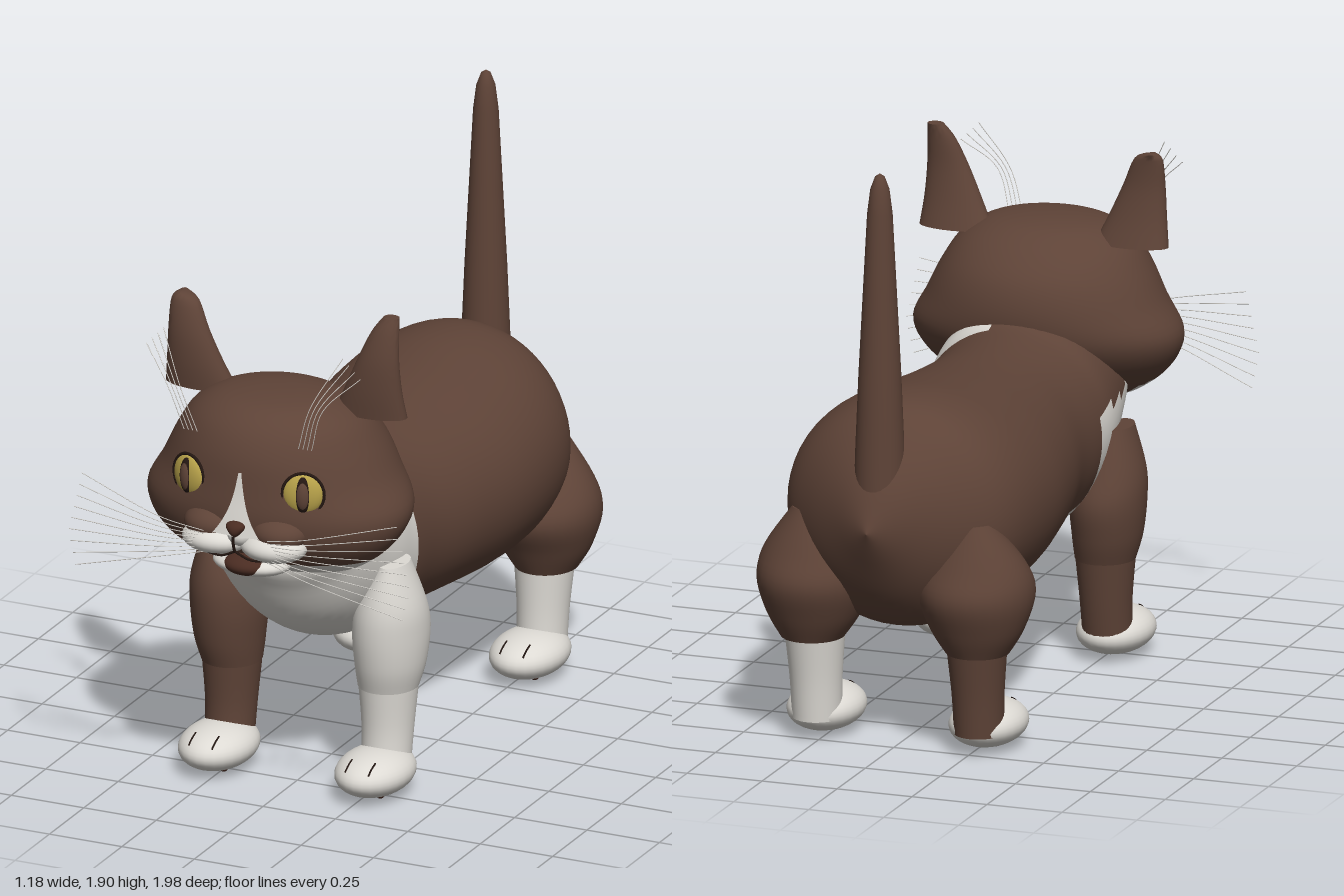
import * as THREE from 'three';
import { toCreasedNormals } from 'three/addons/utils/BufferGeometryUtils.js';

const mat = (name, color, side = THREE.FrontSide) => {
  const m = new THREE.MeshStandardMaterial({ color, side });
  m.name = name;
  return m;
};

// Smooth a table of section values with a Catmull-Rom spline, n steps per gap
function smooth(rows, n) {
  const out = [];
  for (let i = 0; i < rows.length - 1; i++) {
    const [a, b, c, d] = [rows[Math.max(i - 1, 0)], rows[i], rows[i + 1], rows[Math.min(i + 2, rows.length - 1)]];
    for (let k = 0; k < n; k++) {
      const t = k / n;
      out.push(b.map((v, j) => v + 0.5 * t * (c[j] - a[j] + t * (2 * a[j] - 5 * v + 4 * c[j] - d[j] + t * (3 * (v - c[j]) + d[j] - a[j])))));
    }
  }
  out.push(rows[rows.length - 1]);
  return out;
}

// Skin closed rings; pick(x, y, z) returns a material index for each quad
function loft(rows, point, sides, pick = () => 0) {
  const pos = [], lists = [[], []];
  for (const r of rows) for (let j = 0; j < sides; j++) {
    const a = (j / sides) * Math.PI * 2;
    pos.push(...point(r, Math.cos(a), Math.sin(a)));
  }
  for (let i = 0; i < rows.length - 1; i++) for (let j = 0; j < sides; j++) {
    const k = (j + 1) % sides;
    const [a, b, c, d] = [i * sides + j, i * sides + k, (i + 1) * sides + j, (i + 1) * sides + k];
    const mid = [0, 1, 2].map((q) => (pos[a * 3 + q] + pos[b * 3 + q] + pos[c * 3 + q] + pos[d * 3 + q]) / 4);
    lists[pick(...mid)].push(a, c, b, b, c, d);
  }
  const g = new THREE.BufferGeometry();
  g.setAttribute('position', new THREE.Float32BufferAttribute(pos, 3));
  g.setIndex([...lists[0], ...lists[1]]);
  g.addGroup(0, lists[0].length, 0);
  g.addGroup(lists[0].length, lists[1].length, 1);
  g.computeVertexNormals();
  return g;
}

// Upright sections: [y, centre x, radius x, centre z, radius z]
const upright = (r, c, s) => [r[1] + r[2] * c, r[0], r[3] + r[4] * s];

export function createModel() {
  const cat = new THREE.Group();
  cat.name = 'cat';
  const brown = mat('brown fur', 0x5e4337);
  const white = mat('white fur', 0xdddad4);
  const yellow = mat('yellow iris', 0xb8a24a);
  const dark = mat('dark lines', 0x241712);
  const skin = mat('nose and pads', 0x4a2c22);
  const patchWhite = mat('white markings', 0xdddad4, THREE.DoubleSide);

  const add = (name, geo, material, parent = cat) => {
    const m = new THREE.Mesh(geo, material);
    m.name = name;
    parent.add(m);
    return m;
  };
  const ball = (name, material, p, r, parent = cat) => {
    const m = add(name, new THREE.SphereGeometry(1, 28, 20), material, parent);
    m.position.set(...p);
    m.scale.set(...r);
    return m;
  };
  const line = (name, material, pts, r, parent = cat) => {
    const curve = new THREE.CatmullRomCurve3(pts.map((p) => new THREE.Vector3(...p)));
    return add(name, new THREE.TubeGeometry(curve, 14, r, 5), material, parent);
  };

  // Body: [top z, top y, bottom z, bottom y, half width], chest to rump
  const bodyRows = smooth([
    [0.56, 1.0, 0.6, 0.95, 0.02], [0.5, 1.12, 0.69, 0.8, 0.26], [0.45, 1.14, 0.645, 0.69, 0.29],
    [0.39, 1.14, 0.56, 0.56, 0.3], [0.33, 1.12, 0.43, 0.47, 0.31], [0.27, 1.085, 0.27, 0.43, 0.31],
    [0.11, 1.07, 0.11, 0.425, 0.315], [-0.1, 1.075, -0.1, 0.41, 0.36], [-0.35, 1.1, -0.35, 0.39, 0.402],
    [-0.58, 1.125, -0.58, 0.385, 0.4], [-0.74, 1.11, -0.74, 0.4, 0.355], [-0.85, 1.03, -0.85, 0.5, 0.25],
    [-0.94, 0.91, -0.94, 0.65, 0.11], [-0.995, 0.76, -0.995, 0.76, 0],
  ], 5);
  const bodyGeo = loft(bodyRows, (r, c, s) => {
    const t = (s + 1) / 2;
    return [r[4] * c, r[3] + (r[1] - r[3]) * t, r[2] + (r[0] - r[2]) * t];
  }, 56, (x, y, z) => {
    const bib = z > 0.27 && !(x < 0.08 && y > 0.85 && z < 0.5);
    return bib || (z > 0.11 && y < 0.54) ? 1 : 0;
  });
  add('body', bodyGeo, [brown, white]);

  // Head: [y, half width, back z, front z], chin to crown
  const headRows = smooth([
    [0.775, 0, 0.65, 0.65], [0.8, 0.22, 0.55, 0.74], [0.85, 0.33, 0.47, 0.83], [0.93, 0.41, 0.37, 0.9],
    [1.02, 0.437, 0.31, 0.925], [1.12, 0.385, 0.292, 0.92], [1.22, 0.335, 0.315, 0.905], [1.3, 0.28, 0.38, 0.865],
    [1.35, 0.2, 0.46, 0.8], [1.37, 0.1, 0.54, 0.71], [1.375, 0, 0.62, 0.62],
  ], 5);
  add('head', loft(headRows, (r, c, s) => [r[1] * c, r[0], (r[2] + r[3]) / 2 + ((r[3] - r[2]) / 2) * s], 56,
    (x, y, z) => (y < 0.87 && z > 0.6 ? 1 : 0)), [brown, white]);
  const faceZ = (x, y) => {
    const i = headRows.findIndex((r) => r[0] >= y), a = headRows[i - 1], b = headRows[i];
    const [, w, zb, zf] = a.map((v, k) => v + (b[k] - v) * ((y - a[0]) / (b[0] - a[0])));
    return (zb + zf) / 2 + ((zf - zb) / 2) * Math.sqrt(Math.max(0, 1 - (x / w) ** 2));
  };

  // Blaze: thin marking that follows the face
  const blaze = new THREE.PlaneGeometry(2, 1, 6, 10);
  const bp = blaze.attributes.position;
  for (let i = 0; i < bp.count; i++) {
    const t = 0.5 - bp.getY(i), y = 1.18 - 0.2 * t, x = bp.getX(i) * (0.005 + 0.03 * t + 0.045 * t ** 3);
    bp.setXYZ(i, x, y, faceZ(x, y) + 0.005 + 0.03 * t ** 3);
  }
  blaze.computeVertexNormals();
  add('blaze', blaze, patchWhite);

  // Muzzle, nose and mouth
  ball('muzzleBridge', white, [0, 0.975, 0.885], [0.05, 0.045, 0.07]);
  ball('chin', white, [0, 0.855, 0.825], [0.13, 0.04, 0.095]);
  ball('mouth', skin, [0, 0.86, 0.86], [0.08, 0.036, 0.07]);
  const nose = ball('nose', skin, [0, 1.003, 0.95], [0.04, 0.026, 0.025]);
  const np = nose.geometry.attributes.position;
  for (let i = 0; i < np.count; i++) np.setX(i, np.getX(i) * (0.7 + 0.4 * np.getY(i)));
  nose.geometry.computeVertexNormals();
  line('lipCleft', dark, [[0, 0.985, 0.968], [0, 0.955, 0.965], [0, 0.93, 0.955]], 0.005);

  for (const s of [1, -1]) {
    const side = s > 0 ? 'left' : 'right';
    ball(side + 'Cheek', brown, [s * 0.115, 0.985, 0.865], [0.095, 0.06, 0.085]);
    ball(side + 'Muzzle', white, [s * 0.1, 0.94, 0.88], [0.11, 0.05, 0.09]);
    line(side + 'Lip', dark, [[0, 0.93, 0.955], [s * 0.05, 0.908, 0.95], [s * 0.1, 0.91, 0.945]], 0.004);

    // Eye
    const eye = new THREE.Group();
    eye.name = side + 'Eye';
    eye.position.set(s * 0.195, 1.125, faceZ(0.195, 1.125) - 0.008);
    eye.rotation.y = s * 0.35;
    cat.add(eye);
    ball('iris', yellow, [0, 0, 0], [0.065, 0.069, 0.028], eye);
    ball('pupilRim', dark, [0, 0, 0.008], [0.032, 0.062, 0.024], eye);
    ball('pupil', brown, [0, 0, 0.011], [0.026, 0.054, 0.024], eye);
    const rim = add('eyeRim', new THREE.TorusGeometry(0.066, 0.005, 8, 32), dark, eye);
    rim.scale.y = 1.06;
    rim.position.z = 0.006;

    // Ear, the right one a little shorter and more pointed
    const top = s > 0 ? 1.64 : 1.612, tip = s > 0 ? 0.026 : 0.012;
    const ear = smooth([
      [1.31, s * 0.292, 0.122, 0.577, 0.056], [1.4, s * 0.308, 0.095, 0.592, 0.048],
      [1.5, s * 0.327, 0.069, 0.598, 0.039], [1.59, s * 0.345, 0.046, 0.587, 0.03], [top, s * 0.36, tip, 0.573, 0.022],
    ], 4);
    const cap = [top, s * 0.36, 0, 0.573, 0], foot = [1.31, s * 0.292, 0, 0.577, 0];
    add(side + 'Ear', toCreasedNormals(loft([foot, ...ear, cap], upright, 28), 0.9), brown);

    // Whiskers and brow hairs
    for (let i = 0; i < 9; i++) {
      const f = i / 8, end = 0.59 - 0.07 * Math.abs(f - 0.35), y = 0.91 + 0.07 * f;
      line(side + 'Whisker', white, [[s * 0.11, y, 0.95], [s * 0.24, y + 0.06 * (f - 0.4), 0.985],
        [s * end, 0.78 + 0.31 * f, 0.92]], 0.0014);
    }
    for (let i = 0; i < 4; i++) {
      const x = 0.175 + 0.015 * i;
      line(side + 'BrowHair', white, [[s * x, 1.27, 0.86], [s * (x + 0.05), 1.42, 0.88],
        [s * (0.31 + 0.02 * i), 1.58 - 0.02 * i, 0.82]], 0.0014);
    }

    // Legs: [y, x, radius x, z, radius z]
    const frontUpper = [[0.34, 0.27, 0.095, 0.405, 0.103], [0.42, 0.277, 0.11, 0.405, 0.127], [0.53, 0.28, 0.118, 0.405, 0.143],
      [0.63, 0.288, 0.103, 0.42, 0.125], [0.765, 0.306, 0.042, 0.435, 0.075]];
    const frontLower = [[0.07, 0.27, 0.078, 0.425, 0.08], [0.2, 0.27, 0.082, 0.41, 0.085], [0.345, 0.27, 0.094, 0.405, 0.1]];
    const hindUpper = [[0.34, 0.275, 0.1, -0.735, 0.107], [0.42, 0.272, 0.15, -0.735, 0.145], [0.53, 0.268, 0.185, -0.728, 0.187],
      [0.63, 0.268, 0.16, -0.735, 0.145], [0.765, 0.27, 0.06, -0.76, 0.06]];
    const hindLower = [[0.07, 0.27, 0.078, -0.71, 0.085], [0.2, 0.27, 0.082, -0.72, 0.088], [0.345, 0.27, 0.094, -0.73, 0.1]];
    const legs = [
      ['Front', frontUpper, frontLower, s > 0 ? white : brown, s > 0 ? white : brown, 0.5],
      ['Hind', hindUpper, hindLower, brown, s > 0 ? white : brown, -0.625],
    ];
    for (const [end, upper, lower, upperMat, lowerMat, pawZ] of legs) {
      const limb = (name, rows, m) => {
        const r = smooth(rows.map((q) => [q[0], q[1] * s, ...q.slice(2)]), 5);
        const flat = (q) => [q[0], q[1], 0, q[3], 0];
        const g = loft([flat(r[0]), ...r, flat(r[r.length - 1])], upright, 32);
        add(side + end + name, toCreasedNormals(g, 0.9), m);
      };
      limb('UpperLeg', upper, upperMat);
      limb('LowerLeg', lower, lowerMat);

      // Paw with toe lines and pads
      const paw = new THREE.Group();
      paw.name = side + end + 'Paw';
      paw.position.set(s * 0.27, 0.084, pawZ);
      cat.add(paw);
      ball('foot', white, [0, 0, 0], [0.12, 0.073, 0.164], paw);
      ball('mainPad', skin, [0, -0.068, 0], [0.045, 0.012, 0.035], paw);
      for (const k of [-1, 0, 1]) ball('toePad', skin, [k * 0.035, -0.062, 0.05 - 0.012 * Math.abs(k)], [0.014, 0.014, 0.016], paw);
      for (const k of [-1, 1]) {
        const pts = [0.085, 0.115, 0.138].map((z) => [k * 0.04, 0.073 * Math.sqrt(1 - (z / 0.164) ** 2 - (0.04 / 0.12) ** 2), z]);
        line('toeLine', dark, pts, 0.003, paw);
      }
    }
  }

  // Tail
  const tailPts = [[0.08, 0.86], [0.078, 0.98], [0.067, 1.25], [0.053, 1.52], [0.04, 1.77], [0.03, 1.85], [0.015, 1.89], [0, 1.9]];
  const tail = add('tail', new THREE.LatheGeometry(tailPts.map((p) => new THREE.Vector2(...p)), 32), brown);
  tail.position.z = -0.872;
  return cat;
}
